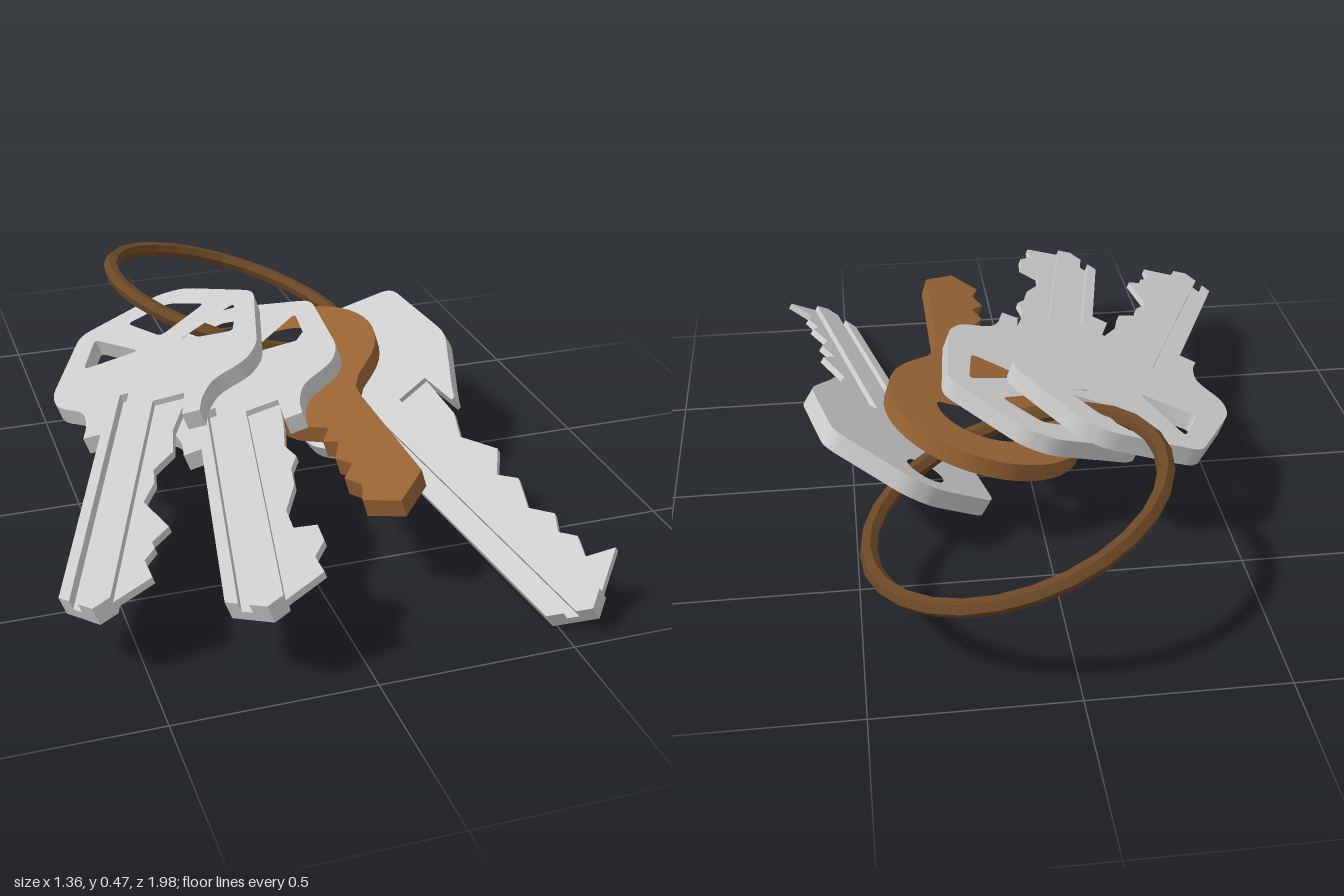
import * as THREE from 'three';
import { toCreasedNormals } from 'three/addons/utils/BufferGeometryUtils.js';

const H = 0.025; // half thickness of a key
const grey = new THREE.MeshStandardMaterial({ color: 0xcccccc });
const bronze = new THREE.MeshStandardMaterial({ color: 0x976334 });
const darkBronze = new THREE.MeshStandardMaterial({ color: 0x6b4826 });

// Key plans are drawn as [s, v]: s across the key, v along the blade
const V = ([s, v]) => new THREE.Vector2(s, -v);
const mirror = (pts) => pts.map(([s, v]) => [-s, v]);

// Softens the corners of a plan
function rounded(pts, r) {
  const out = [];
  pts.forEach((p, i) => {
    const b = V(p);
    const a = V(pts[(i + pts.length - 1) % pts.length]);
    const c = V(pts[(i + 1) % pts.length]);
    const p0 = b.clone().lerp(a, Math.min(0.4, r / b.distanceTo(a)));
    const p1 = b.clone().lerp(c, Math.min(0.4, r / b.distanceTo(c)));
    out.push(...new THREE.QuadraticBezierCurve(p0, b, p1).getPoints(4).map((q) => [q.x, -q.y]));
  });
  return out;
}

// Plate between heights t0 and t1 of the key's thickness
function plate(name, pts, t0, t1, material, holes = []) {
  const shape = new THREE.Shape(pts.map(V));
  shape.holes = holes.map((h) => new THREE.Path(h.map(V)));
  const geo = new THREE.ExtrudeGeometry(shape, { depth: t1 - t0, bevelEnabled: false });
  geo.translate(0, 0, t0);
  const mesh = new THREE.Mesh(toCreasedNormals(geo, 0.6), material);
  mesh.name = name;
  return mesh;
}

// Places a key on the plane with slopes bx, bz; the blade runs along (dx, dz) seen from above
function place(group, [x, y, z], bx, bz, dx, dz) {
  const v = new THREE.Vector3(dx, bx * dx + bz * dz, dz).normalize();
  const n = new THREE.Vector3(-bx, 1, -bz).normalize();
  const s = new THREE.Vector3().crossVectors(n, v);
  group.quaternion.setFromRotationMatrix(new THREE.Matrix4().makeBasis(s, v.negate(), n));
  group.position.set(x, y, z);
  return group;
}

// Grey key: a head notched for the milled grooves, and a blade of four strips
function greyKey(name, { half, holes, teeth, w, spineEnd, tip }) {
  const group = new THREE.Group();
  group.name = name;
  const g0 = -0.085, g1 = -0.06, c1 = 0.02;

  const shoulder = half[half.length - 1][1];
  const sides = rounded([...mirror(half).reverse(), ...half], 0.035);
  // the first and last corners meet the blade, so the notches follow there
  const notches = [
    [w, shoulder], [w - 0.005, -0.08], [c1, -0.08], [c1, 0], [g1, 0],
    [g1, -0.15], [g0, -0.15], [g0, 0], [-w, 0], [-w, shoulder],
  ];
  const start = sides.slice(5), body = start.slice(0, -5);
  group.add(plate('head', [[-half[half.length - 1][0], shoulder], ...body,
    half[half.length - 1], ...notches], -H, H, grey, holes));

  // the slanted end of the blade
  const end = (s) => spineEnd + ((s + w) / (tip[0] + w)) * (tip[1] - spineEnd);
  const last = teeth[teeth.length - 1];
  const past = tip[1] + ((c1 - tip[0]) / (last[0] - tip[0])) * (last[1] - tip[1]);
  const strip = (a, b, v) => [[a, v], [b, v], [b, end(b)], [a, end(a)]];
  group.add(plate('bladeSpine', strip(-w, g0, 0), -H, H, grey));
  group.add(plate('bladeGroove', strip(g0, g1, -0.15), -H, 0, grey));
  group.add(plate('bladeCore', [[g1, 0], [c1, 0], [c1, past], tip, [g1, end(g1)]], -H, H, grey));
  group.add(plate('bladeTeeth', [[c1, -0.08], [w - 0.005, -0.08], ...teeth, [c1, past]],
    -0.4 * H, 0.35 * H, grey));
  return group;
}

// Bronze key: round bow with a half-moon hole and a short notched blade
function bronzeKey() {
  const group = new THREE.Group();
  group.name = 'bronzeKey';
  const arc = (cv, r, from, to, n) => Array.from({ length: n + 1 }, (_, i) => {
    const a = from + ((to - from) * i) / n;
    return [r * Math.sin(a), cv - r * Math.cos(a)];
  });
  const bow = arc(-0.29, 0.275, -2.35, 2.35, 36);
  const blade = [
    [0.15, -0.05], [0.122, 0], [0.116, 0.05], [0.116, 0.475], [0.028, 0.555], [-0.05, 0.49],
    [-0.028, 0.43], [-0.055, 0.375], [-0.017, 0.33], [-0.044, 0.28], [-0.011, 0.215],
    [-0.044, 0.185], [-0.011, 0.137], [-0.083, 0.06], [-0.11, 0], [-0.15, -0.05],
  ];
  const hole = rounded(arc(-0.31, 0.145, -1.57, 1.57, 18), 0.01);
  group.add(plate('bowAndBlade', [...bow, ...blade], -H, H, bronze, [hole]));
  return group;
}

export function createModel() {
  const model = new THREE.Group();
  model.name = 'keyRing';

  // Split ring
  const ring = new THREE.Mesh(new THREE.TorusGeometry(0.38, 0.023, 6, 28).toNonIndexed(), darkBronze);
  ring.geometry.computeVertexNormals();
  ring.geometry.rotateX(Math.PI / 2);
  ring.name = 'ring';
  ring.rotation.z = -0.31;
  ring.position.set(0.111, 0.305, -0.597);
  model.add(ring);

  // Two keys with a three-window head
  const sideWindow = [[-0.215, -0.485], [-0.225, -0.335], [-0.06, -0.36]];
  const windows = [
    rounded(sideWindow, 0.02),
    rounded(mirror(sideWindow), 0.02),
    rounded([[-0.12, -0.53], [0, -0.585], [0.12, -0.53], [0, -0.41]], 0.02),
  ];
  const windowHead = {
    holes: windows, w: 0.115, spineEnd: 0.655, tip: [-0.02, 0.72],
    half: [[0.04, -0.655], [0.27, -0.53], [0.302, -0.235], [0.275, -0.165],
      [0.185, -0.11], [0.164, -0.04], [0.164, 0.02]],
  };
  const leftTeeth = [[0.088, 0.06], [0.1, 0.155], [0.055, 0.215], [0.065, 0.27], [0.046, 0.34],
    [0.127, 0.46], [0.09, 0.505], [0.1, 0.53], [0.08, 0.567], [0.108, 0.635]];
  const middleTeeth = [[0.107, 0.02], [0.097, 0.115], [0.12, 0.175], [0.1, 0.22], [0.098, 0.29],
    [0.065, 0.38], [0.073, 0.455], [0.13, 0.475], [0.137, 0.54], [0.107, 0.587], [0.12, 0.65]];
  model.add(place(greyKey('outerWindowKey', { ...windowHead, teeth: leftTeeth }),
    [-0.341, 0.306, 0.16], 0.37, 0, -0.359, 0.923));
  model.add(place(greyKey('innerWindowKey', { ...windowHead, teeth: middleTeeth }),
    [-0.099, 0.292, 0.264], 0.376, 0, -0.187, 0.98));

  // Bronze key
  model.add(place(bronzeKey(), [0.137, 0.282, 0.16], 0.315, 0, 0, 1));

  // Steeply tilted key with a plain six-sided head
  const ringHole = Array.from({ length: 20 }, (_, i) => {
    const a = (i / 20) * Math.PI * 2;
    return [-0.03 + 0.055 * Math.cos(a), -0.455 + 0.055 * Math.sin(a)];
  });
  model.add(place(greyKey('plainKey', {
    holes: [ringHole], w: 0.12, spineEnd: 0.79, tip: [-0.027, 0.86],
    half: [[0.04, -0.565], [0.25, -0.455], [0.253, -0.165], [0.15, 0.01], [0.13, 0.05]],
    teeth: [[0.1, 0.078], [0.063, 0.16], [0.108, 0.278], [0.055, 0.344], [0.087, 0.4],
      [0.047, 0.494], [0.083, 0.562], [0.054, 0.613], [0.08, 0.66], [0.055, 0.722], [0.123, 0.76]],
  }), [0.432, 0.181, 0.129], 0.654, -0.23, 0.185, 1));

  return model;
}
